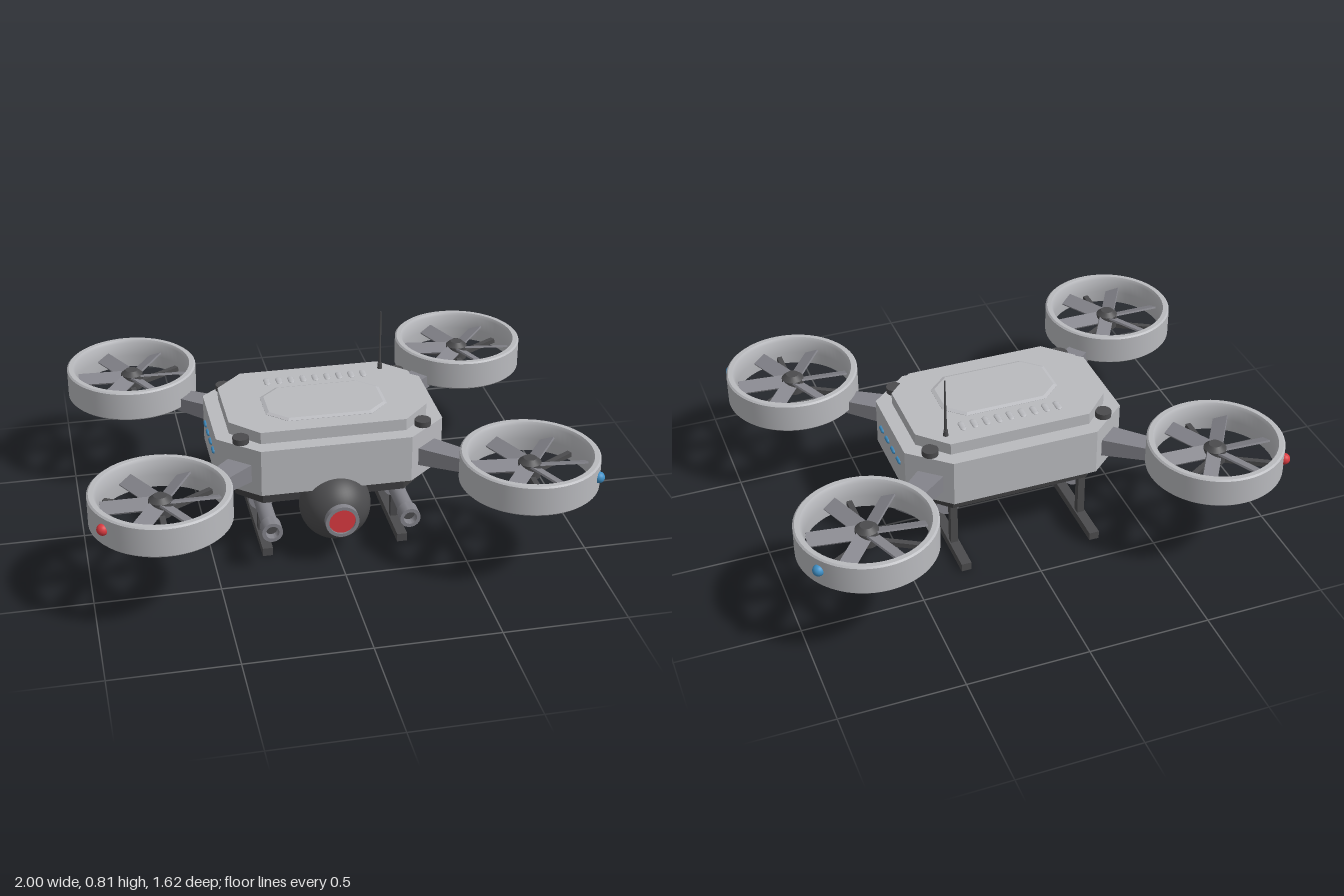
import * as THREE from 'three';
import { toCreasedNormals } from 'three/addons/utils/BufferGeometryUtils.js';

const paint = (name, color) => {
  const m = new THREE.MeshStandardMaterial({ color });
  m.name = name;
  return m;
};

export function createModel() {
  const hull = paint('light grey hull', 0xb9babe);
  const metal = paint('mid grey metal', 0x84848b);
  const dark = paint('dark grey', 0x4b4b4d);
  const under = paint('charcoal', 0x3e3e40);
  const red = paint('red', 0xd93a40);
  const blue = paint('blue', 0x3f90c6);

  const model = new THREE.Group();
  model.name = 'quadDrone';
  const add = (parent, name, geo, mat, x = 0, y = 0, z = 0) => {
    const mesh = new THREE.Mesh(geo, mat);
    mesh.name = name;
    mesh.position.set(x, y, z);
    parent.add(mesh);
    return mesh;
  };
  const box = (w, h, d) => new THREE.BoxGeometry(w, h, d);
  const cyl = (rt, rb, h, n = 28) => new THREE.CylinderGeometry(rt, rb, h, n);
  const cylZ = (r, h, n = 28) => cyl(r, r, h, n).rotateX(Math.PI / 2);
  const lathe = (pts, n) => toCreasedNormals(
    new THREE.LatheGeometry(pts.map(([x, y]) => new THREE.Vector2(x, y)), n), 0.6);

  // Octagonal slab: half sizes X, Z and the half lengths of the straight edges
  const octagon = (X, Z, fx, fz) => new THREE.Shape(
    [[X, -fz], [X, fz], [fx, Z], [-fx, Z], [-X, fz], [-X, -fz], [-fx, -Z], [fx, -Z]]
      .map(([x, z]) => new THREE.Vector2(x, z)));
  const slab = (shape, h) => new THREE.ExtrudeGeometry(shape,
    { depth: h, bevelEnabled: false }).rotateX(-Math.PI / 2);

  // Body
  add(model, 'body', slab(octagon(0.463, 0.326, 0.305, 0.19), 0.2), hull, 0, 0.3, 0);
  add(model, 'lid', slab(octagon(0.405, 0.264, 0.295, 0.152), 0.05), hull, 0, 0.5, 0);
  add(model, 'bellyPlate', slab(octagon(0.387, 0.262, 0.29, 0.165), 0.072), under, 0, 0.228, 0);

  // Top hatch: a bevelled thin panel
  const hatch = new THREE.ExtrudeGeometry(octagon(0.235, 0.133, 0.165, 0.068), {
    depth: 0.001, bevelThickness: 0.006, bevelSize: 0.014, bevelSegments: 1,
  }).rotateX(-Math.PI / 2);
  add(model, 'hatch', hatch, hull, 0, 0.55, 0.042);

  // Row of rounded vents
  for (let i = -4; i <= 4; i++) {
    const vent = add(model, 'vent', new THREE.CapsuleGeometry(0.013, 0.033, 6, 12).rotateX(Math.PI / 2),
      hull, i * 0.051 + 0.008, 0.55, -0.165);
    vent.scale.y = 0.4;
  }

  // Antenna
  add(model, 'antennaBase', cyl(0.009, 0.011, 0.03, 12), dark, 0.293, 0.56, -0.2);
  add(model, 'antenna', cyl(0.003, 0.006, 0.26, 10), dark, 0.293, 0.68, -0.2);

  // Side lights
  for (const s of [-1, 1]) {
    for (let i = 0; i < 4; i++) {
      add(model, 'sideLight', new THREE.CapsuleGeometry(0.01, 0.024, 6, 12).rotateX(Math.PI / 2),
        blue, s * 0.463, 0.41, 0.112 - i * 0.0745);
    }
  }

  // Arms, ducts and rotors, one set per corner
  const cx = 0.725, cz = 0.537;
  const ductGeo = lathe([[0.243, 0.375], [0.268, 0.375], [0.275, 0.382], [0.275, 0.497], [0.268, 0.503],
    [0.249, 0.503], [0.241, 0.49], [0.238, 0.43], [0.243, 0.375]], 64);

  // Arm runs along +x and narrows toward the duct
  const armLength = 0.25;
  const armGeo = box(armLength, 0.08, 0.115);
  const p = armGeo.attributes.position;
  for (let i = 0; i < p.count; i++) {
    if (p.getX(i) > 0) {
      p.setY(i, p.getY(i) * 0.72);
      p.setZ(i, p.getZ(i) * 0.72);
    }
  }
  armGeo.computeVertexNormals();

  const makeRotor = (phase) => {
    const rotor = new THREE.Group();
    rotor.name = 'rotor';
    add(rotor, 'hub', cyl(0.046, 0.046, 0.06), dark, 0, 0.43, 0);
    add(rotor, 'hubCap', cyl(0.026, 0.046, 0.018), dark, 0, 0.469, 0);
    for (let i = 0; i < 6; i++) {
      const holder = new THREE.Group();
      holder.name = 'bladeHolder';
      holder.rotation.y = -(phase + i * Math.PI / 3);
      const blade = add(holder, 'blade', box(0.195, 0.008, 0.062), metal, 0.13, 0.445, 0);
      blade.rotation.x = -0.42;
      rotor.add(holder);
    }
    for (let i = 0; i < 3; i++) {
      const a = Math.PI / 2 + i * Math.PI * 2 / 3;
      const strut = add(rotor, 'ductStrut', box(0.225, 0.02, 0.022), dark,
        Math.cos(a) * 0.13, 0.405, Math.sin(a) * 0.13);
      strut.rotation.y = -a;
    }
    return rotor;
  };

  for (const sx of [-1, 1]) {
    for (const sz of [-1, 1]) {
      const arm = add(model, 'arm', armGeo, metal, sx * 0.432, 0.39, sz * 0.302);
      arm.rotation.y = Math.atan2(-sz * 0.63, sx * 0.78);

      const unit = new THREE.Group();
      unit.name = 'ductedFan';
      unit.position.set(sx * cx, 0, sz * cz);
      add(unit, 'duct', ductGeo, hull);
      unit.add(makeRotor((sx > 0 ? 0.1 : 0) + (sz < 0 ? 0.04 : 0)));
      add(unit, 'navigationLight', new THREE.SphereGeometry(0.023, 20, 14), sx < 0 ? red : blue,
        sx * 0.23, 0.449, sz * 0.153);
      model.add(unit);

      add(model, 'cornerBolt', cyl(0.033, 0.033, 0.024), dark, sx * 0.37, 0.512, sz * 0.231);
    }
  }

  // Camera ball with its lens
  add(model, 'cameraBall', new THREE.SphereGeometry(0.145, 48, 32), dark, 0, 0.207, 0.28);
  const ring = lathe([[0.054, 0], [0.068, 0], [0.068, 0.04], [0.054, 0.04], [0.054, 0]], 40).rotateX(Math.PI / 2);
  add(model, 'lensRing', ring, metal, 0, 0.207, 0.395);
  add(model, 'lens', cylZ(0.056, 0.036, 40), red, 0, 0.207, 0.408);

  // Side tubes and landing skids
  const muzzle = lathe([[0.024, 0], [0.042, 0], [0.042, 0.058], [0.027, 0.058], [0.024, 0]], 32).rotateX(Math.PI / 2);
  for (const s of [-1, 1]) {
    const x = s * 0.28;
    add(model, 'tubeBody', cylZ(0.051, 0.335, 32), metal, x, 0.185, -0.012);
    add(model, 'tubeBarrel', cylZ(0.033, 0.24), metal, x, 0.185, 0.265);
    add(model, 'tubeMuzzle', muzzle, metal, x, 0.185, 0.365);
    add(model, 'tubeBore', cylZ(0.025, 0.01), dark, x, 0.185, 0.386);
    add(model, 'skid', box(0.042, 0.035, 0.69), dark, x, 0.0175, -0.045);
    for (const z of [0.14, -0.23]) {
      add(model, 'skidLeg', box(0.03, 0.21, 0.03), dark, x, 0.13, z);
    }
  }

  return model;
}
